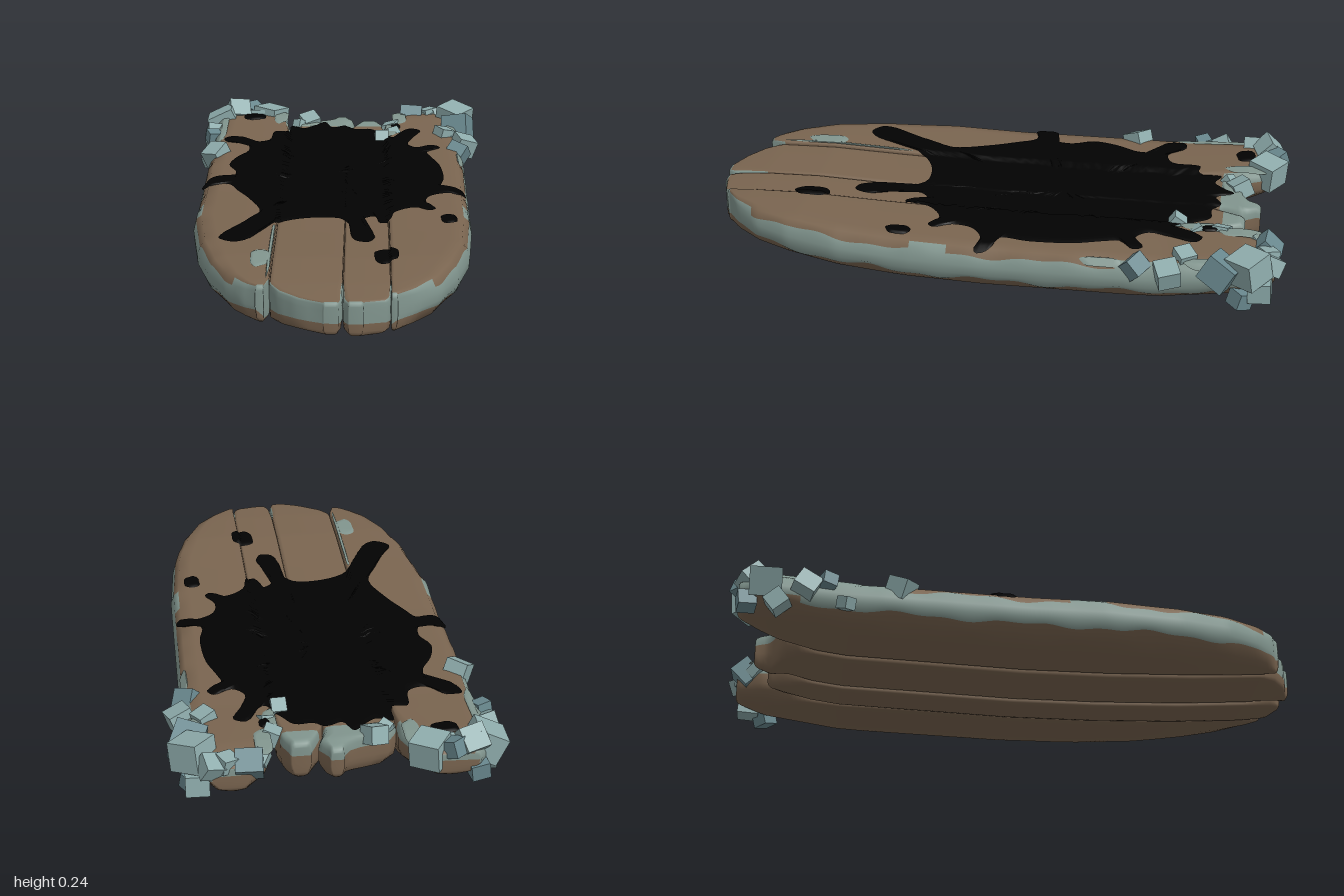
import * as THREE from 'three';

const mat = (name, color, side = THREE.FrontSide, flatShading = false) => {
  const m = new THREE.MeshStandardMaterial({ color, side, flatShading });
  m.name = name;
  return m;
};

// piecewise linear lookup in [[key, value], ...]
function lerpTable(t, k) {
  if (k <= t[0][0]) return t[0][1];
  for (let i = 1; i < t.length; i++) {
    const [a, va] = t[i - 1], [b, vb] = t[i];
    if (k <= b) return va + (vb - va) * (k - a) / (b - a);
  }
  return t[t.length - 1][1];
}

// board top and underside along z
const TOP = [[-0.97, 0.17], [-0.85, 0.178], [-0.6, 0.165], [0, 0.163], [0.4, 0.173], [0.65, 0.182], [0.85, 0.177], [0.98, 0.168]];
const BOTTOM = [[-0.97, 0.08], [-0.85, 0.045], [-0.6, 0.015], [0, 0.004], [0.3, 0.01], [0.6, 0.025], [0.95, 0.055]];
// plank edges as [inset from the side, height fraction]: rounded rim, and tight seam between planks
const RIM = [[0.11, 0], [0.05, 0.07], [0.015, 0.28], [0.002, 0.42], [0, 0.62], [0.01, 0.83], [0.028, 0.96], [0.07, 1]];
const SEAM = [[0.03, 0], [0.01, 0.02], [0.002, 0.06], [0, 0.3], [0, 0.8], [0.001, 0.94], [0.003, 0.98], [0.014, 1]];
// how far seams open towards the ends of the board
const OPENING = [[-0.84, 0.7], [-0.7, 0], [0.84, 0], [0.95, 0.35]];

// left and right edges of each plank as [z, x]; rim: which side is on the outside of the board
const PLANKS = [
  { name: 'rightOuterPlank', dy: 0.011, low: 0.014, rim: -1,
    l: [[-0.95, -0.44], [-0.9, -0.48], [-0.5, -0.49], [0.25, -0.485], [0.5, -0.45], [0.68, -0.40], [0.8, -0.34], [0.865, -0.28], [0.885, -0.24]],
    r: [[-0.95, -0.27], [-0.9, -0.23], [-0.82, -0.2], [0.84, -0.197], [0.885, -0.21]] },
  { name: 'rightMiddlePlank', dy: 0.002, low: 0.008, rim: 0,
    l: [[-0.89, -0.02], [-0.85, -0.045], [-0.835, -0.1], [-0.815, -0.17], [-0.77, -0.2], [0.85, -0.197], [0.9, -0.17], [0.955, -0.1], [0.98, -0.03]],
    r: [[-0.89, 0.03], [-0.84, 0.06], [-0.78, 0.035], [0.96, 0.03], [0.98, 0.02]] },
  { name: 'leftMiddlePlank', dy: -0.001, low: 0, rim: 0,
    l: [[-0.84, 0.075], [-0.8, 0.055], [-0.74, 0.03], [0.95, 0.03], [0.97, 0.045]],
    r: [[-0.84, 0.15], [-0.8, 0.17], [-0.7, 0.175], [0.935, 0.178], [0.955, 0.165], [0.97, 0.095]] },
  { name: 'leftOuterPlank', dy: 0.009, low: 0.003, rim: 1,
    l: [[-0.95, 0.27], [-0.88, 0.22], [-0.78, 0.2], [-0.6, 0.186], [-0.27, 0.176], [0.93, 0.177]],
    r: [[-0.95, 0.41], [-0.88, 0.45], [-0.5, 0.47], [0.25, 0.46], [0.5, 0.44], [0.68, 0.395], [0.8, 0.34], [0.89, 0.26], [0.93, 0.2]] },
];

// plank lofted along z, with frosted rims and wooden faces
function plankGeometry({ l, r, dy, low, rim }) {
  const z0 = l[0][0], z1 = l[l.length - 1][0], N = 120;
  const stations = [[z0 - 0.016, 0.75], [z0 - 0.011, 0.9]];
  for (let i = 0; i <= N; i++) stations.push([z0 + (z1 - z0) * i / N, 1]);
  stations.push([z1 + 0.007, 0.94], [z1 + 0.01, 0.8]);
  const m = RIM.length, n = m * 2, pos = [], wood = [], frost = [];
  for (const [z, shrink] of stations) {
    const L = lerpTable(l, z), R = lerpTable(r, z);
    const b = lerpTable(BOTTOM, z) + low, t = lerpTable(TOP, z) + dy;
    const s = Math.min(1, (R - L) / 0.23), cx = (L + R) / 2, cy = (b + t) / 2;
    for (let j = 0; j < n; j++) {
      const left = j < m, e = left ? j : n - 1 - j;
      const round = rim === (left ? -1 : 1) ? 1 : lerpTable(OPENING, z);
      const inset = s * (SEAM[e][0] + (RIM[e][0] - SEAM[e][0]) * round);
      let h = SEAM[e][1] + (RIM[e][1] - SEAM[e][1]) * round;
      if (e === 2 || e === 5) h += 0.04 * round * (Math.sin(z * 15 + e) + 0.6 * Math.sin(z * 37));
      const x = left ? L + inset : R - inset;
      const thin = 1 - (1 - shrink) * 0.1 / Math.max(0.1, R - L);
      pos.push(cx + (x - cx) * thin, cy + (b + (t - b) * h - cy) * shrink, z);
    }
  }
  // frost by profile strip: 0 is lowest, m - 1 is the upper face, -1 the underside
  const isIcy = (seg, z, outer) => {
    if (z > z1 - 0.004) return seg >= (rim ? 2 : 3);
    if (z > 0.83) return seg >= (rim ? 2 : 3) && seg <= 5;
    if (z < -0.78) return seg >= (outer ? 3 : 4) && seg <= (rim ? 5 : 7);
    return outer && seg >= 2 && seg <= (z < -0.45 || Math.sin(z * 9) > 0.85 ? 5 : 4);
  };
  for (let i = 0; i < stations.length - 1; i++) {
    for (let j = 0; j < n; j++) {
      const k = (j + 1) % n, a = i * n + j, b = i * n + k, c = a + n, d = b + n;
      const left = j < m;
      const icy = isIcy(left ? j : n - 2 - j, stations[i][0], rim === (left ? -1 : 1));
      (icy ? frost : wood).push(a, c, b, b, c, d);
    }
  }
  // end faces, in level strips
  const last = (stations.length - 1) * n;
  for (let j = 0; j < m - 1; j++) {
    const a = j, b = n - 1 - j, c = j + 1, d = n - 2 - j;
    (j > 3 ? frost : wood).push(a, c, b, b, c, d);
    (isIcy(j, 1, true) ? frost : wood).push(last + a, last + b, last + c, last + b, last + d, last + c);
  }
  const g = new THREE.BufferGeometry();
  g.setAttribute('position', new THREE.Float32BufferAttribute(pos, 3));
  g.setIndex([...wood, ...frost]);
  g.addGroup(0, wood.length, 0);
  g.addGroup(wood.length, frost.length, 1);
  g.computeVertexNormals();
  return g;
}

// height of the board's upper face
function surfaceY(x, z) {
  const p = PLANKS[x < -0.197 ? 0 : x < 0.03 ? 1 : x < 0.177 ? 2 : 3];
  const b = lerpTable(BOTTOM, z) + p.low, t = lerpTable(TOP, z) + p.dy;
  return b + (t - b) * lerpTable(RIM.slice(5), Math.min(x + 0.49, 0.47 - x));
}

// smooth closed patch draped over the board
function patchGeometry(points, lift, samples, rings, [cx, cz]) {
  const curve = new THREE.CatmullRomCurve3(points.map(([x, z]) => new THREE.Vector3(x, 0, z)), true);
  const pos = [], index = [];
  for (let k = 0; k <= rings; k++) {
    for (let j = 0; j < samples; j++) {
      const p = curve.getPoint(j / samples), f = k / rings;
      const x = cx + (p.x - cx) * f, z = cz + (p.z - cz) * f;
      pos.push(x, surfaceY(x, z) + (k === rings ? lift * 0.4 : lift), z);
      if (k === rings) continue;
      const a = k * samples + j, b = k * samples + (j + 1) % samples;
      index.push(a, b, a + samples, b, b + samples, a + samples);
    }
  }
  const g = new THREE.BufferGeometry();
  g.setAttribute('position', new THREE.Float32BufferAttribute(pos, 3));
  g.setIndex(index);
  g.computeVertexNormals();
  return g;
}

const ellipse = (x, z, rx, rz) => Array.from({ length: 10 }, (_, i) => {
  const a = i * Math.PI / 5, k = 1 + 0.1 * Math.sin(i * 2.3);
  return [x + rx * k * Math.cos(a), z + rz * k * Math.sin(a)];
});

// main splat outline [x, z], clockwise from the back
const SPLAT = [
  [-0.06, -0.81], [-0.03, -0.75], [0.02, -0.77], [0.06, -0.74], [0.12, -0.74], [0.16, -0.68], [0.21, -0.62],
  [0.27, -0.72], [0.31, -0.70], [0.28, -0.62], [0.26, -0.54], [0.30, -0.50], [0.36, -0.53], [0.38, -0.50],
  [0.33, -0.45], [0.34, -0.40], [0.37, -0.30], [0.38, -0.15], [0.37, -0.05], [0.44, -0.03], [0.45, 0.02],
  [0.38, 0.01], [0.32, 0.05], [0.31, 0.12], [0.34, 0.18], [0.32, 0.20], [0.27, 0.17], [0.20, 0.22],
  [0.18, 0.30], [0.15, 0.31], [0.13, 0.24], [0.09, 0.27], [0.10, 0.36], [0.13, 0.45], [0.11, 0.50],
  [0.07, 0.49], [0.05, 0.42], [0.05, 0.34], [0.01, 0.27], [-0.10, 0.27], [-0.19, 0.32], [-0.24, 0.42],
  [-0.29, 0.52], [-0.33, 0.54], [-0.38, 0.50], [-0.34, 0.42], [-0.30, 0.33], [-0.26, 0.23], [-0.30, 0.10],
  [-0.35, 0.0], [-0.39, -0.07], [-0.47, -0.06], [-0.485, -0.10], [-0.46, -0.14], [-0.39, -0.13], [-0.37, -0.20],
  [-0.40, -0.28], [-0.38, -0.37], [-0.34, -0.45], [-0.35, -0.52], [-0.43, -0.56], [-0.44, -0.61], [-0.39, -0.62],
  [-0.33, -0.56], [-0.27, -0.58], [-0.25, -0.68], [-0.20, -0.68], [-0.19, -0.76], [-0.14, -0.74], [-0.10, -0.77],
];

// ice chunks [x, y, z, size]
const ICE = [
  [-0.46, 0.16, -0.88, 0.105], [-0.41, 0.19, -0.92, 0.08], [-0.35, 0.185, -0.95, 0.06], [-0.28, 0.165, -0.92, 0.1],
  [-0.33, 0.16, -0.91, 0.075], [-0.485, 0.14, -0.75, 0.075], [-0.49, 0.16, -0.68, 0.05], [-0.5, 0.08, -0.62, 0.045],
  [-0.46, 0.165, -0.44, 0.075], [-0.48, 0.08, -0.84, 0.065], [-0.43, 0.1, -0.94, 0.06],
  [-0.12, 0.175, -0.83, 0.065], [-0.16, 0.175, -0.79, 0.04], [-0.09, 0.16, -0.81, 0.035],
  [0.28, 0.16, -0.93, 0.085], [0.40, 0.17, -0.95, 0.065], [0.35, 0.175, -0.94, 0.055], [0.45, 0.18, -0.88, 0.105],
  [0.46, 0.165, -0.79, 0.1], [0.44, 0.1, -0.92, 0.075], [0.475, 0.15, -0.62, 0.075], [0.40, 0.175, -0.67, 0.06],
  [0.445, 0.15, -0.51, 0.07], [0.20, 0.165, -0.78, 0.055], [0.16, 0.175, -0.63, 0.05], [0.21, 0.17, -0.7, 0.04],
  [0.45, 0.065, -0.86, 0.06], [0.24, 0.16, -0.9, 0.045],
];

export function createModel() {
  const model = new THREE.Group();
  const wood = mat('brownWood', 0x7a6550);
  const frost = mat('frost', 0x82968f, THREE.DoubleSide);
  const black = mat('blackSplat', 0x020202, THREE.DoubleSide);
  const ice = mat('ice', 0x8fadad, THREE.FrontSide, true);
  const darkIce = mat('darkIce', 0x6a898f, THREE.FrontSide, true);
  const add = (name, geometry, material) => {
    const m = new THREE.Mesh(geometry, material);
    m.name = name;
    model.add(m);
    return m;
  };

  for (const p of PLANKS) add(p.name, plankGeometry(p), [wood, frost]);

  // splat and loose drops
  add('splat', patchGeometry(SPLAT, 0.009, 280, 24, [0, -0.22]), black);
  for (const [x, z, rx, rz] of [[-0.34, -0.84, 0.045, 0.035], [0.38, 0.29, 0.028, 0.045], [0.165, 0.64, 0.04, 0.065], [0.215, -0.74, 0.018, 0.03]])
    add('splatDrop', patchGeometry(ellipse(x, z, rx, rz), 0.009, 30, 5, [x, z]), black);

  // frost patches on the upper face
  for (const [x, z, rx, rz] of [[-0.235, 0.68, 0.032, 0.075], [-0.462, -0.74, 0.022, 0.18], [-0.235, -0.85, 0.028, 0.08],
    [0.435, -0.8, 0.024, 0.15], [0.23, -0.85, 0.028, 0.08], [-0.13, -0.79, 0.05, 0.025], [-0.4, -0.91, 0.06, 0.03],
    [0.33, -0.93, 0.07, 0.02], [0.45, -0.4, 0.012, 0.07], [-0.205, 0.59, 0.006, 0.25], [0.195, -0.71, 0.022, 0.07]])
    add('frostPatch', patchGeometry(ellipse(x, z, rx, rz), 0.005, 30, 6, [x, z]), frost);

  // ice chunks, each a tilted block
  ICE.forEach(([x, y, z, s], i) => {
    const m = add('iceChunk', new THREE.BoxGeometry(s, s * 0.9, s), i % 4 === 2 ? darkIce : ice);
    m.position.set(x, y, z);
    m.rotation.set(Math.sin(i * 4.1) * 0.5, i * 1.9, Math.cos(i * 2.7) * 0.45);
  });
  return model;
}
